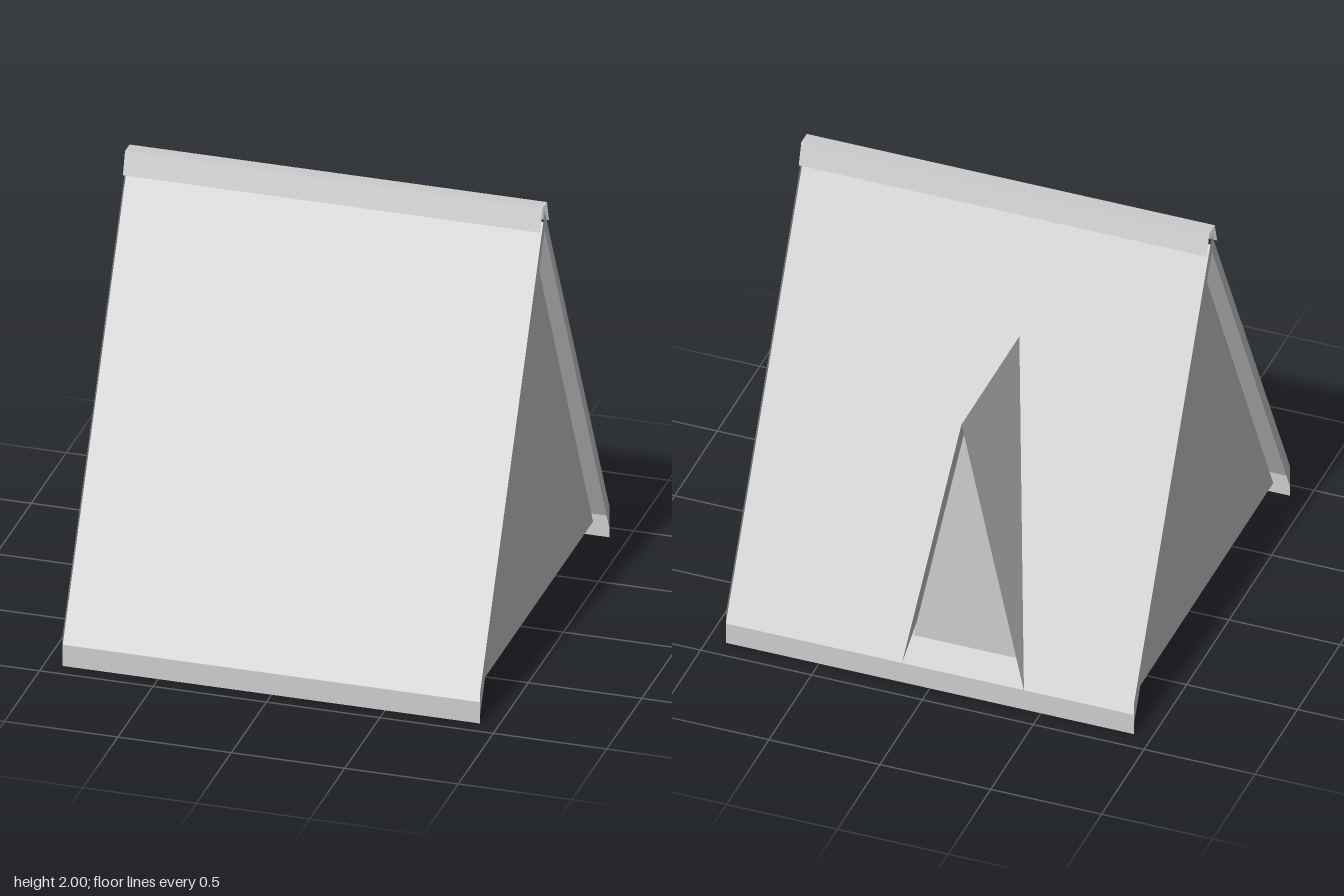
import * as THREE from 'three';

const paint = new THREE.MeshStandardMaterial({ color: 0xcccccc, side: THREE.DoubleSide });
paint.name = 'pale grey';

const HALF = 0.92;      // half length along the ridge
const MID = 0.0075;     // z of the ridge
const EAVE = 0.1;       // height of the eaves
const RIDGE = 1.92;     // height of the roof sheet at the ridge

function addMesh(group, name, geometry) {
  const mesh = new THREE.Mesh(geometry, paint);
  mesh.name = name;
  group.add(mesh);
  return mesh;
}

// Open sheet: a [z, y] profile swept along x, each strip with its own flat normal
function sweep(profile) {
  const p = [];
  for (let i = 0; i < profile.length - 1; i++) {
    const [z0, y0] = profile[i], [z1, y1] = profile[i + 1];
    const a = [-HALF, y0, z0], b = [HALF, y0, z0], c = [HALF, y1, z1], d = [-HALF, y1, z1];
    p.push(...a, ...c, ...b, ...a, ...d, ...c);
  }
  return triangles(p);
}

function triangles(points) {
  const g = new THREE.BufferGeometry();
  g.setAttribute('position', new THREE.Float32BufferAttribute(points, 3));
  g.computeVertexNormals();
  return g;
}

// Flat panel from [u, y] corners
function panel(corners) {
  return new THREE.ShapeGeometry(new THREE.Shape(corners.map(([u, y]) => new THREE.Vector2(u, y))));
}

export function createModel() {
  const model = new THREE.Group();
  model.name = 'tentRoof';

  // Roof sheet with the fascias hanging from both eaves
  addMesh(model, 'roofSheet', sweep([
    [MID - HALF, 0], [MID - HALF, EAVE], [MID, RIDGE], [MID + HALF, EAVE], [MID + HALF, 0],
  ]));

  // Raised ridge cap
  addMesh(model, 'ridgeCap', sweep([
    [MID - 0.062, 1.9], [MID - 0.032, 2], [MID + 0.032, 2], [MID + 0.062, 1.9],
  ]));

  // Gable walls and the rake boards at both ends
  for (const side of [1, -1]) {
    const rake = addMesh(model, side > 0 ? 'leftRakeBoard' : 'rightRakeBoard', panel([
      [-HALF, 0.045], [0, 1.885], [HALF, 0.045], [HALF, 0.15], [0, 1.97], [-HALF, 0.15],
    ]));
    const gable = addMesh(model, side > 0 ? 'leftGable' : 'rightGable', panel([
      [-0.85, 0.1], [0.85, 0.1], [0, 1.81],
    ]));
    rake.position.set(side * HALF, 0, MID);
    gable.position.set(side * 0.87, 0, MID);
    rake.rotation.y = gable.rotation.y = side * Math.PI / 2;
  }

  // Dormer on the back slope: two sloping sheets and a recessed wall
  const dormer = new THREE.Group();
  dormer.name = 'dormer';
  dormer.position.x = -0.15;
  const top = 1.42, halfWidth = 0.275;
  for (const side of [1, -1]) {
    const front = [0, top, -0.25], back = [0, top, -0.93];
    const foot = [side * halfWidth, EAVE, -0.914];
    addMesh(dormer, side > 0 ? 'dormerLeftRoof' : 'dormerRightRoof',
      triangles(side > 0 ? [...front, ...foot, ...back] : [...front, ...back, ...foot]));
  }
  const wall = addMesh(dormer, 'dormerWall', panel([
    [-0.265, 0.12], [0.265, 0.12], [0, 1.4],
  ]));
  wall.position.z = -0.855;
  wall.rotation.y = Math.PI;
  model.add(dormer);

  return model;
}
